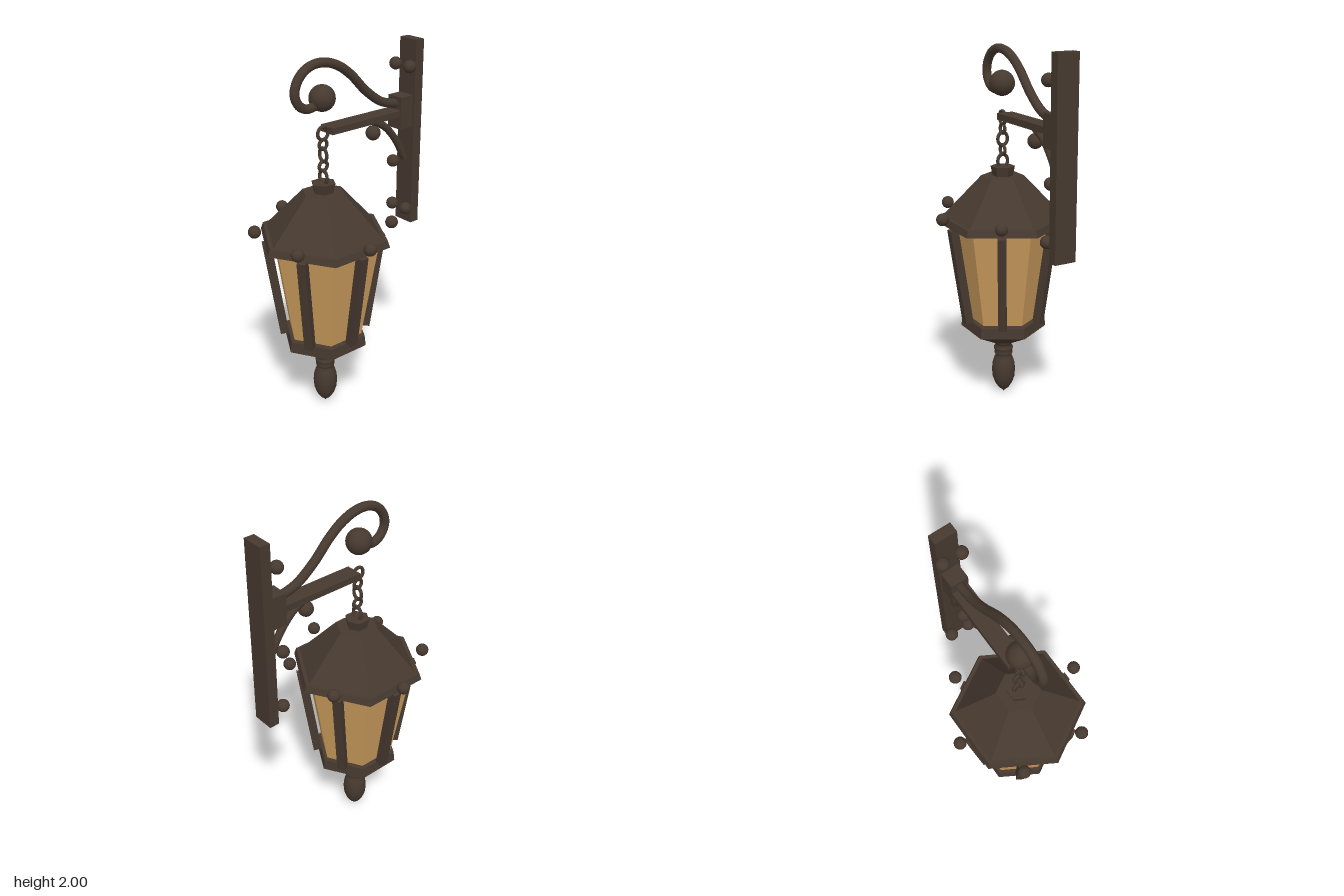
import * as THREE from 'three';

const LAMP_Z = 0.135; // axis of the hanging lantern

export function createModel() {
  const model = new THREE.Group();
  model.name = 'wallLantern';
  const iron = new THREE.MeshStandardMaterial({ color: 0x46392f });
  iron.name = 'dark bronze';
  const glass = new THREE.MeshStandardMaterial({ color: 0xc8995b });
  glass.name = 'amber glass';

  function add(parent, name, geometry, x = 0, y = 0, z = 0, material = iron) {
    const mesh = new THREE.Mesh(geometry, material);
    mesh.name = name;
    mesh.position.set(x, y, z);
    parent.add(mesh);
    return mesh;
  }
  const ball = (parent, name, r, x, y, z) =>
    add(parent, name, new THREE.SphereGeometry(r, 24, 16), x, y, z);

  // Six-sided frustum with faceted sides, a corner facing +z
  function hex(parent, name, rTop, rBottom, y0, y1, material = iron) {
    const g = new THREE.CylinderGeometry(rTop, rBottom, y1 - y0, 6).toNonIndexed();
    g.computeVertexNormals();
    return add(parent, name, g, 0, (y0 + y1) / 2, 0, material);
  }
  // Round bar through [z, y] points in the middle plane
  function rod(name, points, radius) {
    const curve = new THREE.CatmullRomCurve3(points.map(([z, y]) => new THREE.Vector3(0, y, z)));
    return add(model, name, new THREE.TubeGeometry(curve, 64, radius, 14), 0, 0, 0);
  }

  // Wall plate, mounting block and arm
  add(model, 'wallPlate', new THREE.BoxGeometry(0.12, 1.03, 0.056), 0, 1.485, -0.472);
  add(model, 'mountingBlock', new THREE.BoxGeometry(0.097, 0.175, 0.09), 0, 1.618, -0.403);
  add(model, 'arm', new THREE.BoxGeometry(0.094, 0.035, 0.48), 0, 1.618, -0.13);
  for (const y of [1.865, 1.065])
    for (const side of [-1, 1]) ball(model, 'plateStud', 0.034, side * 0.053, y, -0.408);

  // Scroll above the arm, ending in a ball
  rod('scroll', [[-0.37, 1.664], [-0.26, 1.695], [-0.153, 1.77], [-0.048, 1.874], [0.03, 1.93],
    [0.11, 1.96], [0.19, 1.962], [0.254, 1.935], [0.296, 1.885], [0.308, 1.828],
    [0.282, 1.773], [0.233, 1.748], [0.18, 1.755]], 0.024);
  ball(model, 'scrollBall', 0.068, 0, 1.787, 0.138);

  // Curved brace below the arm
  rod('brace', [[-0.19, 1.605], [-0.29, 1.55], [-0.37, 1.46], [-0.437, 1.345]], 0.02);
  ball(model, 'braceBall', 0.04, 0, 1.535, -0.205);
  ball(model, 'braceBall', 0.034, 0, 1.345, -0.355);

  // Chain: [height, ring radius, turned across]
  const links = [[1.605, 0.034, 1], [1.545, 0.025, 1], [1.49, 0.029, 0], [1.43, 0.026, 1], [1.37, 0.03, 0]];
  for (const [y, r, across] of links) {
    const link = add(model, 'chainLink', new THREE.TorusGeometry(r, 0.009, 10, 24), 0, y, LAMP_Z);
    if (across) link.rotation.y = Math.PI / 2;
    else link.scale.y = 1.2;
  }

  const lantern = new THREE.Group();
  lantern.name = 'lantern';
  lantern.position.z = LAMP_Z;
  model.add(lantern);

  // Roof, cap and eave
  hex(lantern, 'roofCap', 0.066, 0.055, 1.29, 1.342);
  hex(lantern, 'roof', 0.116, 0.33, 1.065, 1.29);
  hex(lantern, 'eave', 0.352, 0.365, 1.028, 1.065);

  // Glass body
  hex(lantern, 'glassPanes', 0.304, 0.212, 0.485, 1.028, glass);

  // Frame bars and eave balls, one in the middle of each side
  for (let i = 0; i < 6; i++) {
    const side = new THREE.Group();
    side.name = 'frameSide';
    side.rotation.y = (i * Math.PI) / 3;
    lantern.add(side);
    const bar = add(side, 'frameBar', new THREE.BoxGeometry(0.046, 0.552, 0.046), 0.265, 0.753, 0);
    bar.rotation.z = -0.148;
    ball(side, 'eaveBall', 0.034, 0.365, 1.09, 0);
  }

  // Lower collar and funnel
  hex(lantern, 'collar', 0.232, 0.239, 0.415, 0.475);
  hex(lantern, 'funnel', 0.236, 0.07, 0.325, 0.415);

  // Turned finial
  const profile = [[0, 0], [0.008, 0.012], [0.03, 0.03], [0.05, 0.062], [0.063, 0.1], [0.067, 0.145],
    [0.063, 0.185], [0.052, 0.22], [0.044, 0.235], [0.05, 0.243], [0.053, 0.254], [0.047, 0.265],
    [0.054, 0.274], [0.054, 0.285], [0.045, 0.293], [0.05, 0.31], [0.07, 0.335], [0, 0.335]];
  add(lantern, 'finial', new THREE.LatheGeometry(profile.map(([r, y]) => new THREE.Vector2(r, y)), 28));

  return model;
}
